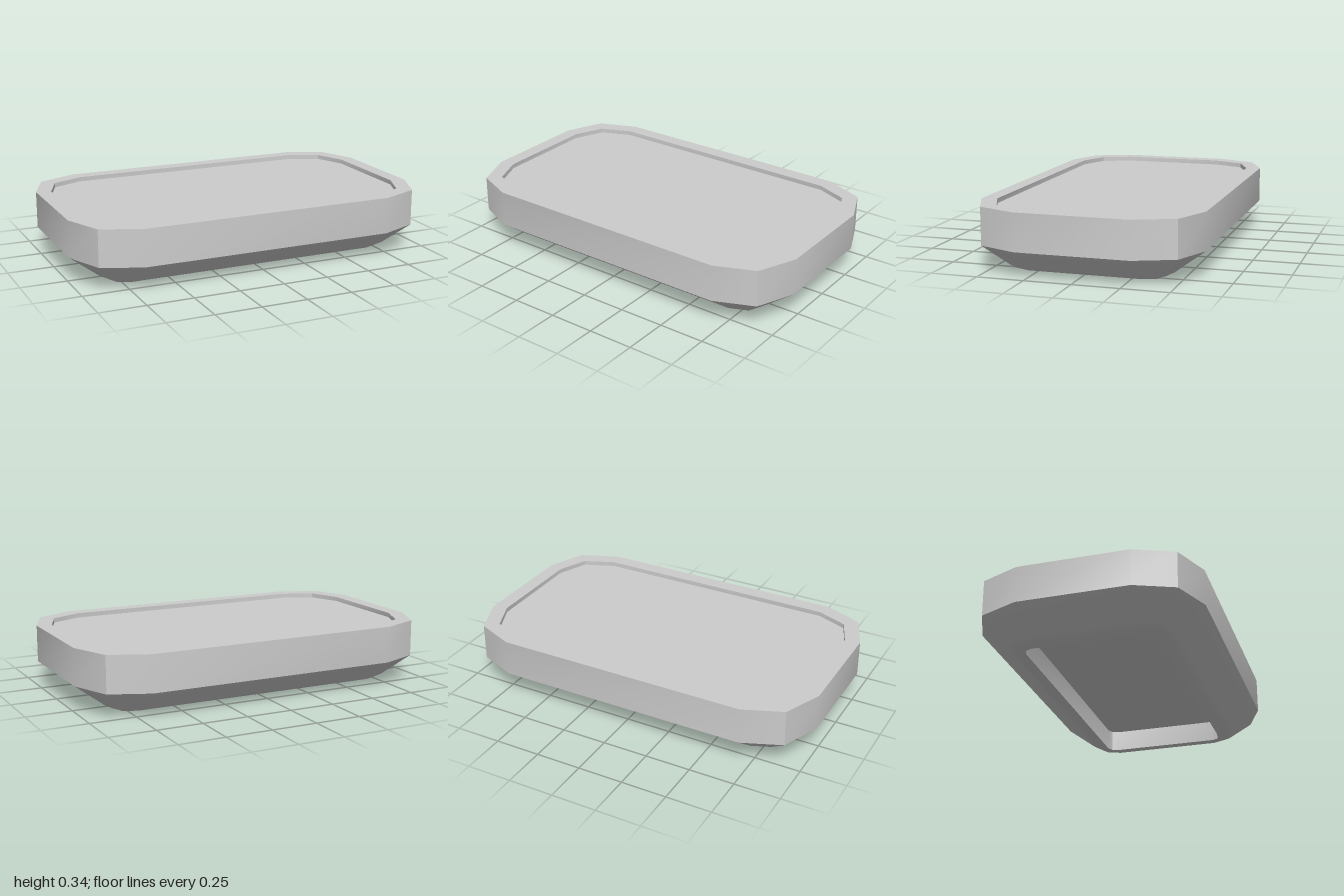
import * as THREE from 'three';
import { toCreasedNormals } from 'three/addons/utils/BufferGeometryUtils.js';

// Rounded rectangle with two facets per corner: corner centre (cx, cz) and radius r
function outline(cx, cz, r) {
  const points = [];
  [[1, 1], [-1, 1], [-1, -1], [1, -1]].forEach(([sx, sz], q) => {
    for (let i = 0; i < 3; i++) {
      const a = q * Math.PI / 2 + i * Math.PI / 4;
      points.push(new THREE.Vector2(sx * cx + r * Math.cos(a), sz * cz + r * Math.sin(a)));
    }
  });
  return points;
}

// Skin through sections [cx, cz, r, y], listed bottom to top along the outside
function loft(sections) {
  const position = [], index = [];
  for (const [cx, cz, r, y] of sections) {
    for (const p of outline(cx, cz, r)) position.push(p.x, y, p.y);
  }
  const n = 12;
  for (let s = 0; s < sections.length - 1; s++) {
    for (let i = 0; i < n; i++) {
      const a = s * n + i, b = s * n + (i + 1) % n;
      index.push(a, a + n, b, b, a + n, b + n);
    }
  }
  const geometry = new THREE.BufferGeometry();
  geometry.setAttribute('position', new THREE.Float32BufferAttribute(position, 3));
  geometry.setIndex(index);
  return toCreasedNormals(geometry, 0.6);
}

// Flat panel filling one section, facing up (1) or down (-1)
function panel([cx, cz, r, y], facing) {
  const geometry = new THREE.ShapeGeometry(new THREE.Shape(outline(cx, cz, r)));
  geometry.rotateX(-facing * Math.PI / 2);
  geometry.translate(0, y, 0);
  return geometry;
}

export function createModel() {
  const group = new THREE.Group();
  group.name = 'tray';
  const grey = new THREE.MeshStandardMaterial({ color: 0xcccccc });
  grey.name = 'light grey';

  const add = (name, geometry) => {
    const mesh = new THREE.Mesh(geometry, grey);
    mesh.name = name;
    group.add(mesh);
  };

  const ceiling = [0.7, 0.3, 0.05, 0.12];
  const floor = [0.68, 0.28, 0.24, 0.315];

  // Body: underside recess wall, foot ring, sloped belly, side wall, rim, top recess wall
  add('body', loft([
    ceiling,
    [0.7, 0.3, 0.05, 0],
    [0.7, 0.3, 0.1, 0],
    [0.7, 0.3, 0.14, 0.02],
    [0.7, 0.3, 0.3, 0.14],
    [0.7, 0.3, 0.3, 0.34],
    [0.68, 0.28, 0.24, 0.34],
    floor,
  ]));

  // Panels closing the two recesses
  add('trayFloor', panel(floor, 1));
  add('undersidePanel', panel(ceiling, -1));

  return group;
}
